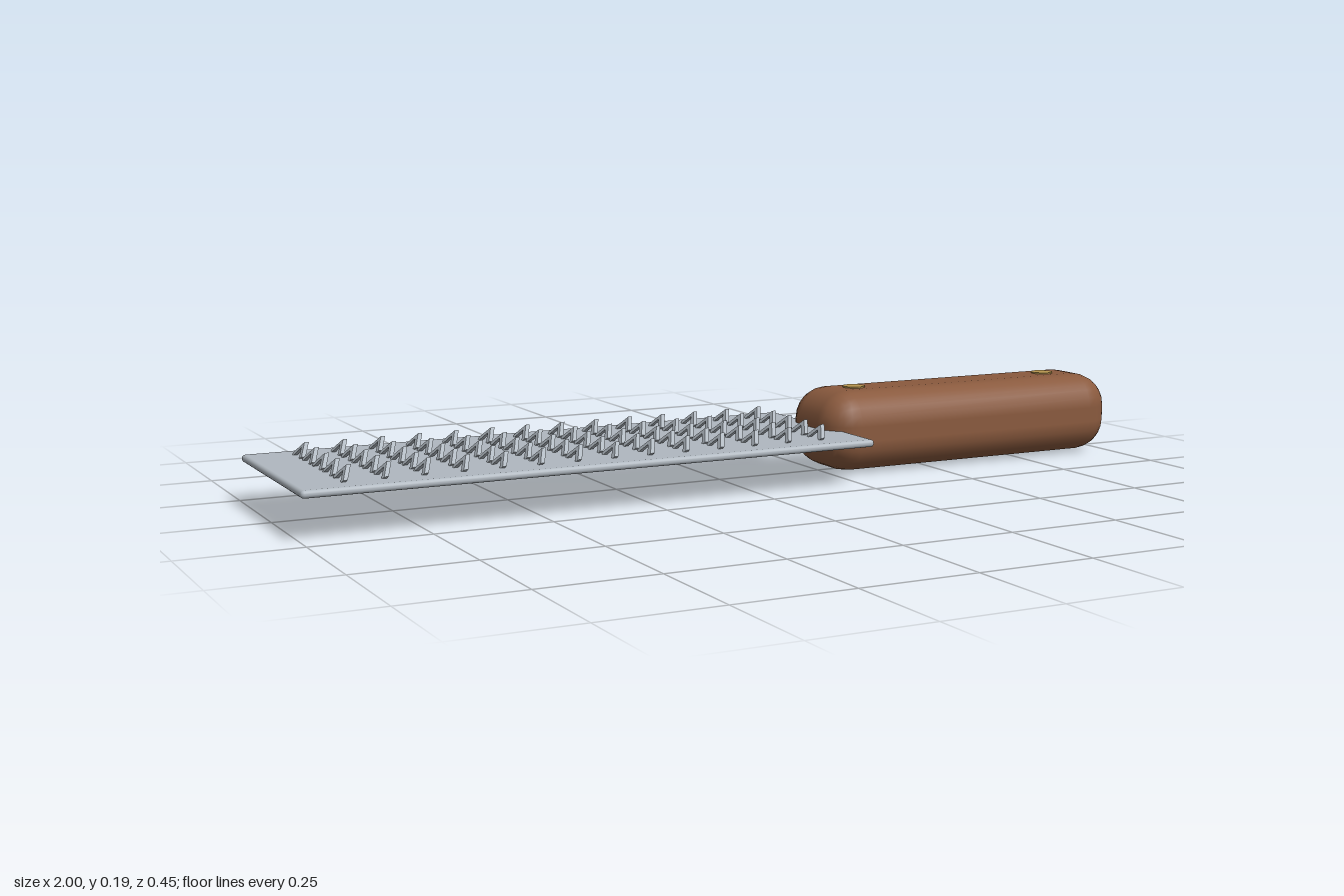
import * as THREE from 'three';
import { RoundedBoxGeometry } from 'three/addons/geometries/RoundedBoxGeometry.js';

function material(name, color) {
  const m = new THREE.MeshStandardMaterial({ color });
  m.name = name;
  return m;
}

export function createModel() {
  const steel = material('steel', 0xb0b8c0);
  const wood = material('wood', 0x8a5a3e);
  const brass = material('brass', 0xb8964f);
  const model = new THREE.Group();
  model.name = 'handGrater';

  function add(parent, name, geometry, mat, x, y, z) {
    const mesh = new THREE.Mesh(geometry, mat);
    mesh.name = name;
    mesh.position.set(x, y, z);
    parent.add(mesh);
  }

  // Thin blade with softened edges
  add(model, 'blade', new RoundedBoxGeometry(1.262, 0.016, 0.45, 2, 0.0075), steel, -0.369, 0.094, 0);

  // Rounded wooden handle
  add(model, 'handle', new RoundedBoxGeometry(0.775, 0.181, 0.226, 3, 0.074), wood, 0.6125, 0.0935, 0);

  // Rivets running right through the handle
  for (const x of [0.343, 0.866]) {
    add(model, 'rivet', new THREE.CylinderGeometry(0.026, 0.026, 0.187, 10), brass, x, 0.0935, 0);
  }

  // One chevron tooth, extruded along x and leaning towards the handle
  const chevron = new THREE.Shape([
    [-0.031, 0.006], [-0.024, -0.001], [0, 0.02], [0.024, -0.001], [0.031, 0.006], [0, 0.031],
  ].map(([z, y]) => new THREE.Vector2(z, y)));
  const tooth = new THREE.ExtrudeGeometry(chevron, { depth: 0.009, bevelEnabled: false });
  tooth.rotateY(Math.PI / 2);
  tooth.applyMatrix4(new THREE.Matrix4().set(
    1, 0.65, 0, -0.0145,
    0, 1, 0, 0,
    0, 0, 1, 0,
    0, 0, 0, 1,
  ));
  tooth.computeVertexNormals();

  // Grid of teeth
  const teeth = new THREE.Group();
  teeth.name = 'teeth';
  for (let col = 0; col < 14; col++) {
    for (let row = -2; row <= 2; row++) {
      add(teeth, 'tooth', tooth, steel, -0.893 + col * 0.0815, 0.1, row * 0.0725);
    }
  }
  model.add(teeth);
  return model;
}
